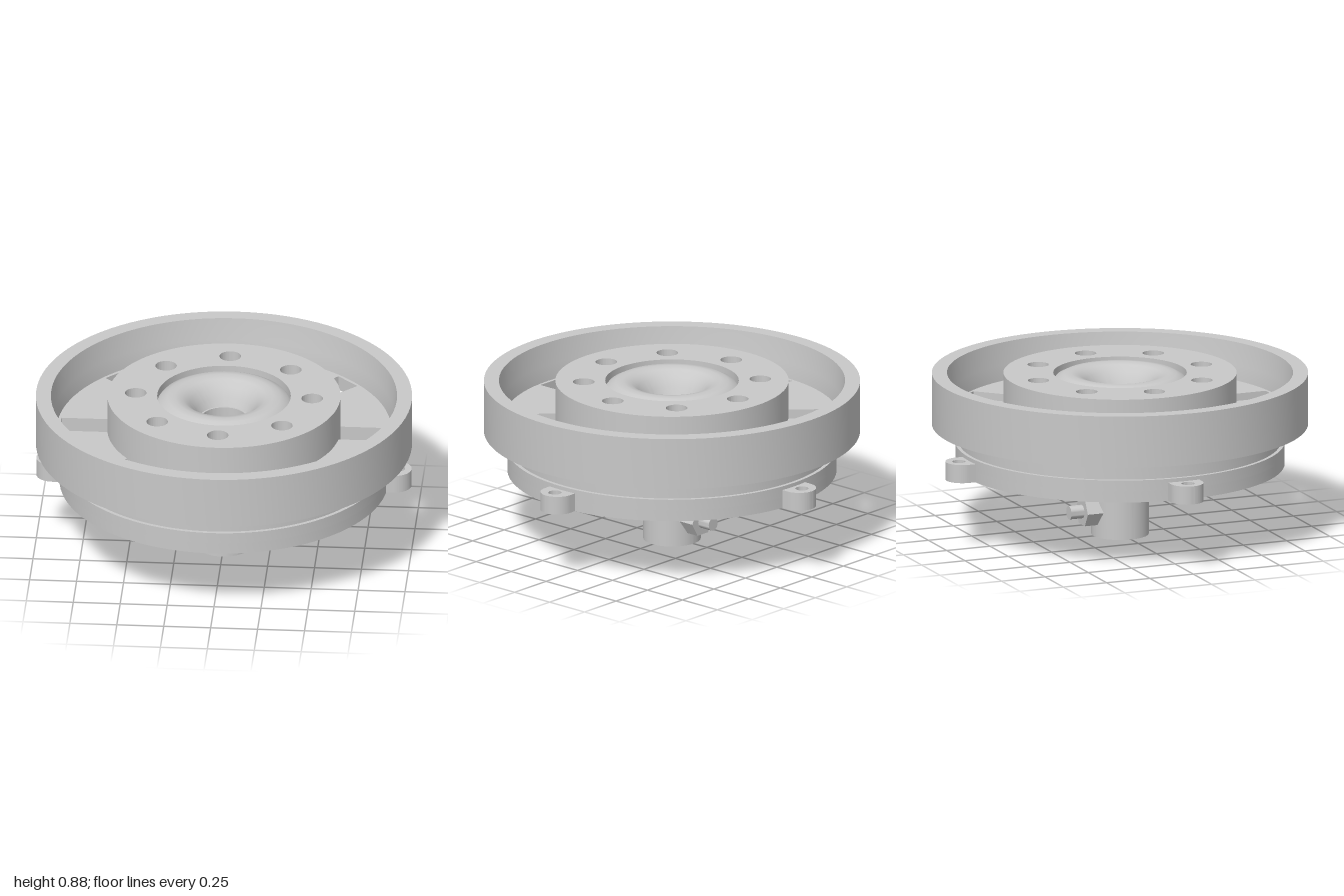
import * as THREE from 'three';
import { toCreasedNormals } from 'three/addons/utils/BufferGeometryUtils.js';

export function createModel() {
  const model = new THREE.Group();
  const grey = new THREE.MeshStandardMaterial({ color: 0xc8c8c8 });
  grey.name = 'plain grey';

  const add = (name, geometry, parent = model) => {
    const mesh = new THREE.Mesh(toCreasedNormals(geometry, 0.6), grey);
    mesh.name = name;
    parent.add(mesh);
    return mesh;
  };

  // Closed profile of [radius, height], bottom outwards then up and back in
  const lathe = (name, profile) =>
    add(name, new THREE.LatheGeometry([...profile, profile[0]].map(([r, y]) => new THREE.Vector2(r, y)), 96));

  // Horizontal plate cut from a plan shape
  const plate = (name, shape, y0, y1, parent) => {
    const g = new THREE.ExtrudeGeometry(shape, { depth: y1 - y0, bevelEnabled: false, curveSegments: 48 });
    g.rotateX(-Math.PI / 2);
    g.translate(0, y0, 0);
    return add(name, g, parent);
  };

  const circle = (Type, r, x = 0, y = 0) => {
    const p = new Type();
    p.absarc(x, y, r, 0, Math.PI * 2, false);
    return p;
  };
  const ring = (outer, inner) => {
    const s = circle(THREE.Shape, outer);
    s.holes.push(circle(THREE.Path, inner));
    return s;
  };
  // Radial rectangular slots
  const cutSlots = (shape, count, r0, r1, halfWidth) => {
    for (let i = 0; i < count; i++) {
      const a = (i / count) * Math.PI * 2;
      const corners = [[r0, -halfWidth], [r1, -halfWidth], [r1, halfWidth], [r0, halfWidth]];
      shape.holes.push(new THREE.Path(corners.map(([x, y]) =>
        new THREE.Vector2(x * Math.cos(a) - y * Math.sin(a), x * Math.sin(a) + y * Math.cos(a)))));
    }
    return shape;
  };

  // Hollow shaft
  lathe('shaft', [[0.1, 0], [0.153, 0], [0.153, 0.44], [0.02, 0.44], [0.02, 0.36], [0.1, 0.34]]);

  // Set screw on the back of the shaft
  const screw = new THREE.Group();
  screw.name = 'setScrew';
  screw.position.set(0, 0.14, 0);
  model.add(screw);
  const nut = new THREE.CylinderGeometry(0.083, 0.083, 0.1, 6).rotateY(Math.PI / 6).rotateX(Math.PI / 2);
  add('screwNut', nut, screw).position.z = -0.17;
  const stem = new THREE.CylinderGeometry(0.036, 0.036, 0.1, 24).rotateX(Math.PI / 2);
  add('screwStem', stem, screw).position.z = -0.245;

  // Stepped base disc with a slotted underside
  plate('baseSlottedPlate', cutSlots(ring(0.875, 0.14), 12, 0.7, 0.81, 0.05), 0.38, 0.44);
  lathe('baseDisc', [[0.02, 0.44], [0.875, 0.44], [0.875, 0.5], [0.855, 0.5],
    [0.855, 0.58], [0.48, 0.58], [0.48, 0.6], [0.02, 0.6]]);

  // Three mounting lugs: left, back and right
  const lugShape = new THREE.Shape();
  lugShape.moveTo(0.84, -0.09);
  lugShape.lineTo(0.91, -0.09);
  lugShape.absarc(0.91, 0, 0.09, -Math.PI / 2, Math.PI / 2, false);
  lugShape.lineTo(0.84, 0.09);
  lugShape.closePath();
  lugShape.holes.push(circle(THREE.Path, 0.035, 0.93));
  for (let i = 0; i < 3; i++) {
    plate('mountingLug', lugShape, 0.381, 0.48).rotation.y = (i * Math.PI) / 2;
  }

  // Wheel rim and its slotted floor
  lathe('wheelRim', [[0.89, 0.6], [1, 0.6], [1, 0.88], [0.92, 0.88], [0.905, 0.76], [0.89, 0.68]]);
  plate('wheelFloor', cutSlots(ring(0.895, 0.58), 8, 0.615, 0.872, 0.076), 0.6, 0.68);

  // Hub with eight through holes
  const hub = ring(0.62, 0.355);
  for (let i = 0; i < 8; i++) {
    const a = (i * Math.PI) / 4;
    hub.holes.push(circle(THREE.Path, 0.057, 0.47 * Math.cos(a), 0.47 * Math.sin(a)));
  }
  plate('hub', hub, 0.6, 0.88);

  // Rounded collar falling to a stepped bore
  lathe('hubCollar', [[0.02, 0.6], [0.36, 0.6], [0.36, 0.83], [0.34, 0.855], [0.3, 0.875], [0.26, 0.88],
    [0.22, 0.87], [0.18, 0.84], [0.15, 0.79], [0.13, 0.75], [0.12, 0.75], [0.12, 0.7], [0.09, 0.7],
    [0.09, 0.66], [0.05, 0.66], [0.05, 0.63], [0.02, 0.63]]);

  return model;
}
